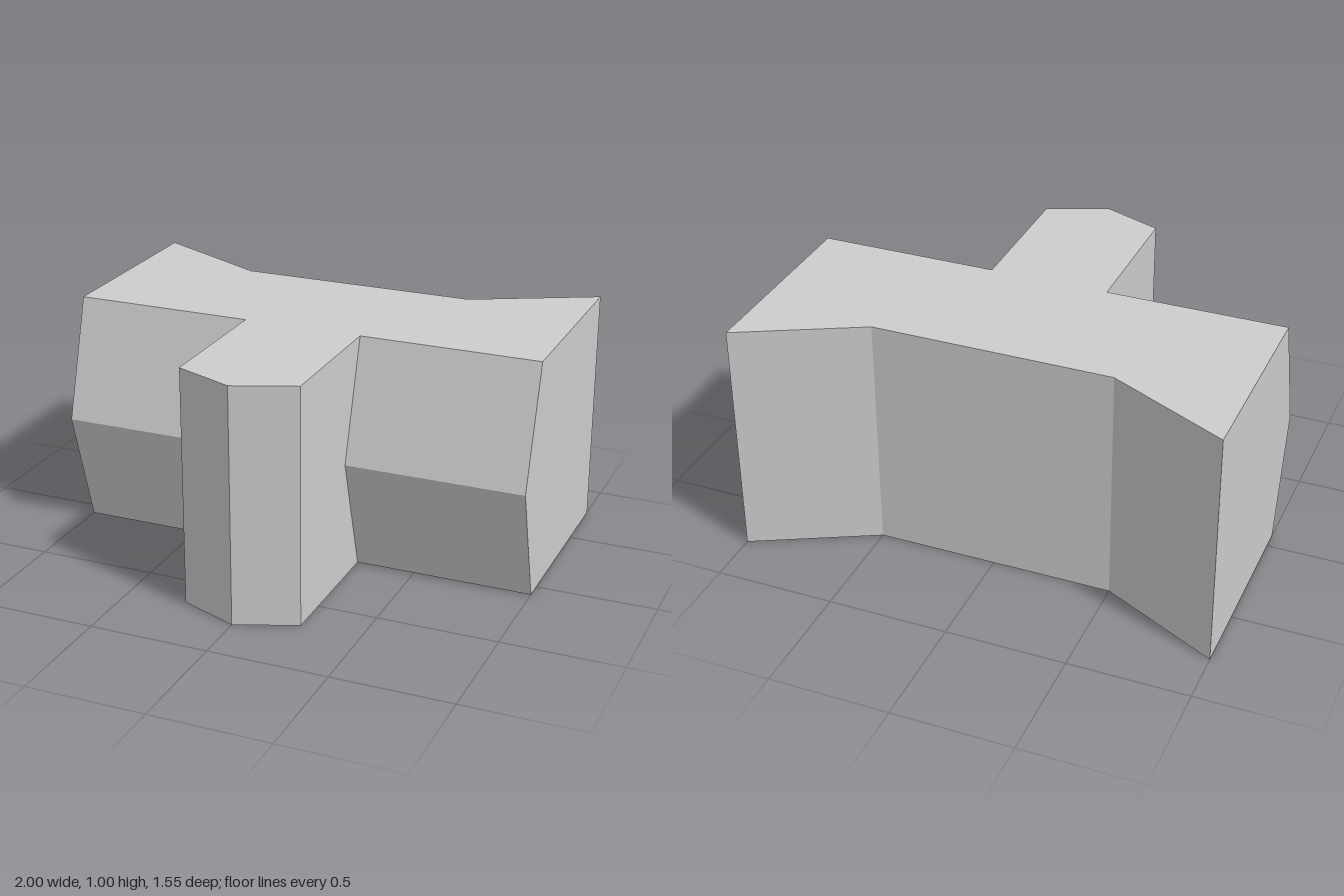
import * as THREE from 'three';

const polygon = (points) => new THREE.Shape(points.map(([x, y]) => new THREE.Vector2(x, y)));
const extrude = (points, depth) =>
  new THREE.ExtrudeGeometry(polygon(points), { depth, bevelEnabled: false });

export function createModel() {
  const group = new THREE.Group();
  group.name = 'connectorBlock';
  const grey = new THREE.MeshStandardMaterial({ name: 'light grey', color: 0xcccccc });

  // T-shaped plan with a flared back and a pointed stem; right half as [x, z]
  const half = [[0.5, -0.525], [1, -0.775], [1, 0.075], [0.25, 0.075], [0.25, 0.675]];
  const mirrored = half.map(([x, z]) => [-x, z]).reverse();
  const plan = [...half, [0, 0.775], ...mirrored].map(([x, z]) => [x, -z]);
  const body = new THREE.Mesh(extrude(plan, 1).rotateX(-Math.PI / 2), grey);
  body.name = 'body';
  group.add(body);

  // Ridged front of each arm: a triangular prism, section as [z, y]
  const ridge = extrude([[0.075, 0], [0.225, 0.5], [0.075, 1]], 0.75).rotateY(-Math.PI / 2);
  for (const [name, x] of [['leftArmRidge', 1], ['rightArmRidge', -0.25]]) {
    const mesh = new THREE.Mesh(ridge, grey);
    mesh.name = name;
    mesh.position.x = x;
    group.add(mesh);
  }
  return group;
}
